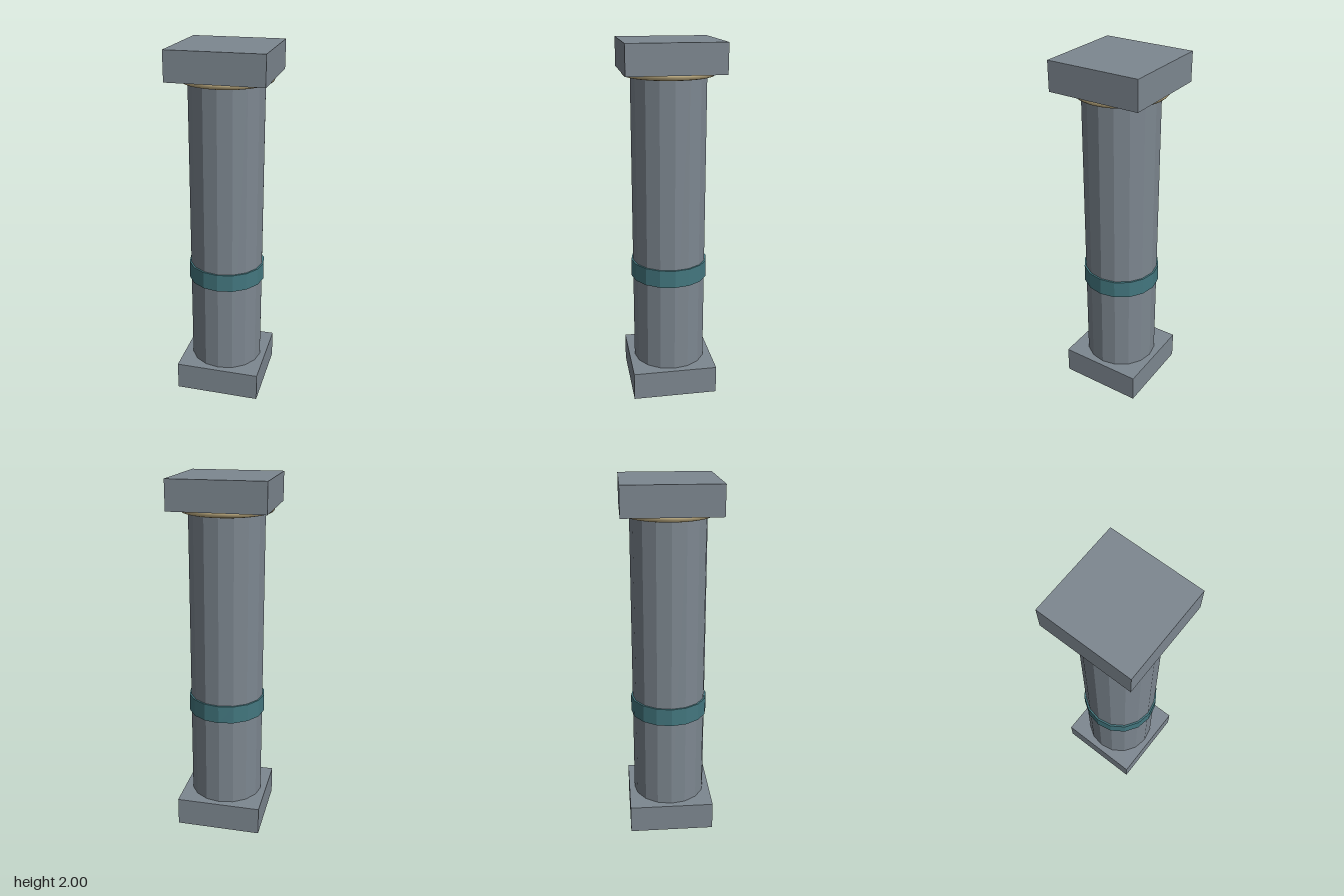
import * as THREE from 'three';

export function createModel() {
  const model = new THREE.Group();
  const mat = (color) => new THREE.MeshStandardMaterial({ color, flatShading: true });
  const stone = mat(0x7d8790);
  const teal = mat(0x43777f);
  const gold = new THREE.MeshStandardMaterial({ color: 0xcbb88a });

  const add = (name, geometry, material, y) => {
    const mesh = new THREE.Mesh(geometry, material);
    mesh.name = name;
    mesh.position.y = y;
    model.add(mesh);
    return mesh;
  };

  // Square blocks at both ends
  add('basePlinth', new THREE.BoxGeometry(0.48, 0.16, 0.48), stone, 0.08);
  add('topCapital', new THREE.BoxGeometry(0.52, 0.16, 0.52), stone, 1.92);

  // Sixteen-sided shaft with a band around it
  add('shaft', new THREE.CylinderGeometry(0.208, 0.208, 1.68, 16), stone, 1.0);
  add('band', new THREE.CylinderGeometry(0.218, 0.218, 0.1, 16), teal, 0.725);

  // Round moulding under the capital
  const ring = add('neckRing', new THREE.TorusGeometry(0.23, 0.024, 12, 48), gold, 1.836);
  ring.rotation.x = Math.PI / 2;

  return model;
}
